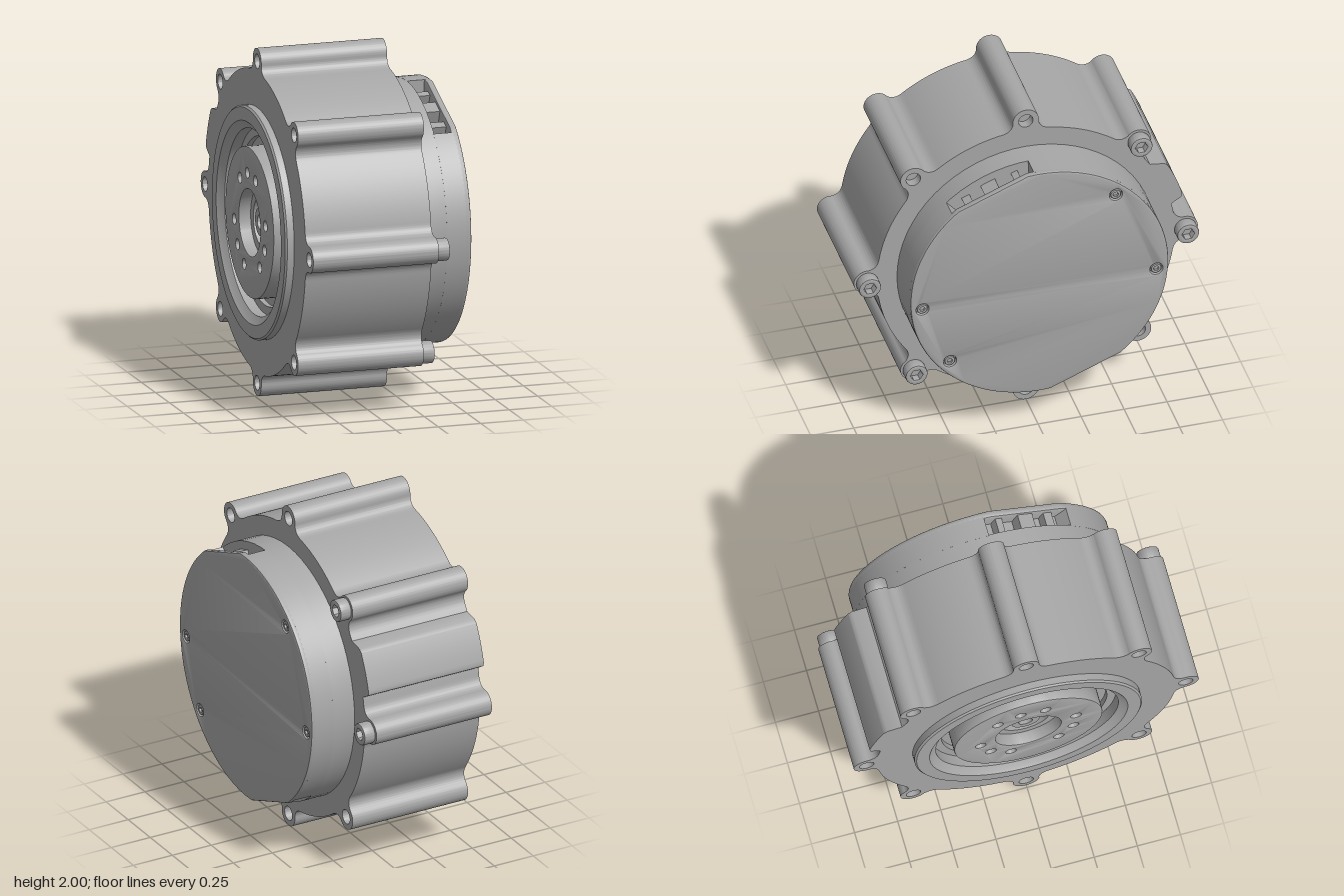
import * as THREE from 'three';
import { toCreasedNormals } from 'three/addons/utils/BufferGeometryUtils.js';

const metal = new THREE.MeshStandardMaterial({ color: 0xa6a6a6 });
metal.name = 'grey metal';
const rad = THREE.MathUtils.degToRad;
const polar = (r, a) => [r * Math.cos(a), r * Math.sin(a)];

// Parts are built along local z, which becomes the motor axis (+x) at the end.
function part(name, geometry, parent) {
  const mesh = new THREE.Mesh(toCreasedNormals(geometry, 0.55), metal);
  mesh.name = name;
  parent.add(mesh);
  return mesh;
}

function extrude(shape, z0, z1, bevel = 0) {
  const g = new THREE.ExtrudeGeometry(shape, {
    depth: z1 - z0 - 2 * bevel, curveSegments: 32, bevelEnabled: bevel > 0,
    bevelSize: bevel, bevelThickness: bevel, bevelOffset: -bevel, bevelSegments: 2,
  });
  return g.translate(0, 0, z0 + bevel);
}

const disc = (r, x = 0, y = 0) => new THREE.Shape().absarc(x, y, r, 0, Math.PI * 2, false);
function addHole(shape, x, y, r) {
  shape.holes.push(new THREE.Path().absarc(x, y, r, 0, Math.PI * 2, true));
}

// Screw head with a hexagonal socket
function screwHead(name, x, y, r, z0, z1, bevel, parent) {
  const head = new THREE.Group();
  head.name = name;
  const shape = disc(r);
  const hex = new THREE.Path();
  for (let i = 0; i < 6; i++) {
    const p = polar(r * 0.55, -i * Math.PI / 3);
    i ? hex.lineTo(...p) : hex.moveTo(...p);
  }
  hex.closePath();
  shape.holes.push(hex);
  part('socketHead', extrude(shape, z0, z1, bevel), head);
  part('socketFloor', extrude(disc(r * 0.7), z0 + 0.001, z0 + (z1 - z0) * 0.35), head);
  head.position.set(x, y, 0);
  parent.add(head);
}

// Housing outline: ring with eight bolt lobes and one raised pad
function housingShape() {
  const R = 0.865, lobeR = 0.925, r = 0.075, sweep = 1.7, fillet = 0.165;
  const s = new THREE.Shape();
  for (let i = 0; i < 8; i++) {
    const a = i * Math.PI / 4, next = a + Math.PI / 4;
    const at = (v, u, b) => [v * Math.cos(b) - u * Math.sin(b), v * Math.sin(b) + u * Math.cos(b)];
    s.absarc(...polar(lobeR, a), r, a - sweep, a + sweep, false);
    s.quadraticCurveTo(...at(0.862, 0.08, a), ...polar(R, a + fillet));
    if (i === 0) {
      s.absarc(0, 0, R, fillet, 0.21, false);
      s.lineTo(...polar(0.93, 0.235));
      s.absarc(0, 0, 0.94, 0.26, 0.5, false);
      s.lineTo(...polar(0.93, 0.525));
      s.lineTo(...polar(R, 0.585));
    } else {
      s.absarc(0, 0, R, a + fillet, next - fillet, false);
    }
    const start = polar(lobeR, next);
    const d = polar(r, next - sweep);
    if (i === 0) s.lineTo(...polar(R, next - fillet));
    s.quadraticCurveTo(...at(0.862, -0.08, next), start[0] + d[0], start[1] + d[1]);
  }
  return s;
}

// Round cover cut on two opposite sides, as flats or as deeper pockets
function coverShape(half, inset) {
  const s = new THREE.Shape();
  for (const k of [0, 180]) {
    const end = 292 - half + k;
    s.absarc(0, 0, 0.75, rad(112 + half + k), rad(end), false);
    if (inset) {
      s.lineTo(...polar(0.75 - inset, rad(end)));
      s.lineTo(...polar(0.75 - inset, rad(end + 2 * half)));
    }
  }
  s.closePath();
  return s;
}

export function createModel() {
  const model = new THREE.Group();
  model.name = 'actuator';
  const axis = new THREE.Group();
  axis.name = 'motorAssembly';
  axis.rotation.y = Math.PI / 2;
  axis.position.y = 1;
  model.add(axis);

  // Main housing with through holes in the lobes
  const housing = housingShape();
  addHole(housing, 0, 0, 0.6);
  for (let i = 0; i < 8; i++) addHole(housing, ...polar(0.925, i * Math.PI / 4), 0.042);
  part('housing', extrude(housing, -0.485, 0.255), axis);

  // Bolts in four lobes, threaded inserts in the others
  for (let i = 0; i < 8; i++) {
    const [x, y] = polar(0.925, i * Math.PI / 4);
    const bolted = [0, 1, 4, 5].includes(i);
    part('boltShaft', extrude(disc(0.0415, x, y), -0.4, bolted ? 0.254 : 0.2), axis);
    if (bolted) screwHead('bolt', x, y, 0.064, 0.255, 0.325, 0.008, axis);
  }

  // Output side: raised rim, stepped recess and centre bore
  const profile = [
    [0, -0.4], [0.04, -0.4], [0.04, -0.47], [0.08, -0.47], [0.08, -0.42], [0.14, -0.42],
    [0.14, -0.46], [0.2, -0.46], [0.2, -0.41], [0.48, -0.41], [0.48, -0.44], [0.53, -0.44],
    [0.53, -0.5], [0.56, -0.52], [0.575, -0.535], [0.65, -0.535], [0.66, -0.525], [0.66, -0.48],
  ].map(([r, h]) => new THREE.Vector2(r, h));
  part('outputRim', new THREE.LatheGeometry(profile, 96).rotateX(Math.PI / 2), axis);

  // Output hub with three groups of three holes
  const hub = disc(0.43);
  addHole(hub, 0, 0, 0.19);
  for (const a of [81, 201, 321]) {
    for (const d of [-30, 0, 30]) addHole(hub, ...polar(0.28, rad(a + d)), 0.03);
  }
  part('outputHub', extrude(hub, -0.53, -0.4, 0.006), axis);

  // Rear cover: round base, pocketed middle and lid with flats
  part('coverBase', extrude(disc(0.75), 0.25, 0.39), axis);
  part('coverMiddle', extrude(coverShape(20, 0.1), 0.385, 0.505), axis);
  const lid = coverShape(17, 0);
  const screws = [[0.445, 0.515], [0.68, -0.045], [-0.68, -0.05], [-0.52, -0.44]];
  for (const [x, y] of screws) addHole(lid, x, y, 0.036);
  part('coverLid', extrude(lid, 0.49, 0.53, 0.01), axis);
  for (const [x, y] of screws) screwHead('coverScrew', x, y, 0.029, 0.504, 0.525, 0.003, axis);

  // Connector prongs in both pockets
  for (const k of [0, 180]) {
    for (const [deg, width] of [[98, 0.04], [112, 0.09], [125, 0.05]]) {
      const prong = part('connectorProng', new THREE.BoxGeometry(0.1, width, 0.12), axis);
      const a = rad(deg + k);
      prong.position.set(...polar(0.65, a), 0.45);
      prong.rotation.z = rad(112 + k);
    }
  }
  return model;
}
